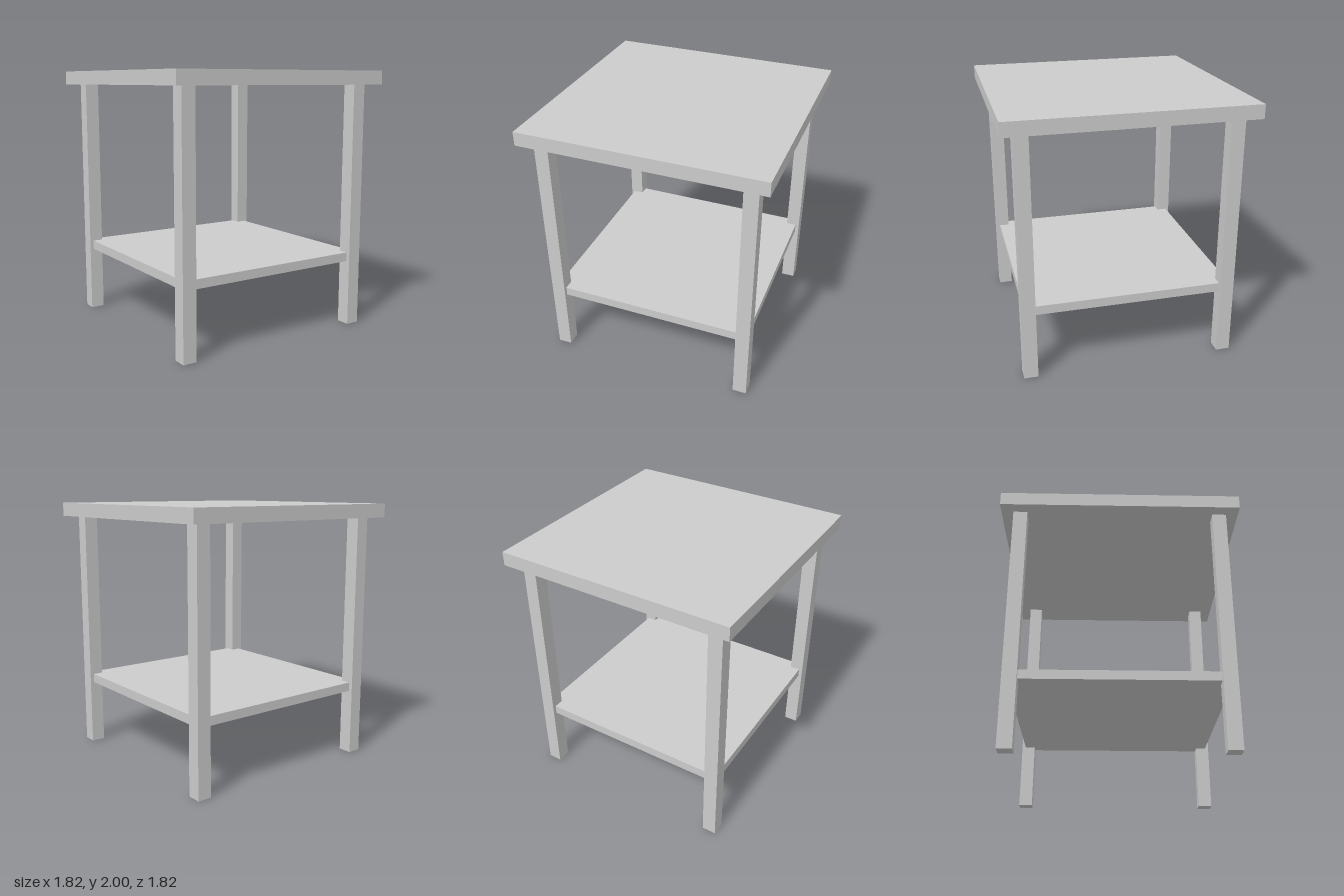
import * as THREE from 'three';

export function createModel() {
  const group = new THREE.Group();
  const material = new THREE.MeshStandardMaterial({ color: 0xcccccc, flatShading: true });

  // Box resting on a given bottom height
  const addBox = (name, width, height, depth, x, bottom, z) => {
    const mesh = new THREE.Mesh(new THREE.BoxGeometry(width, height, depth), material);
    mesh.name = name;
    mesh.position.set(x, bottom + height / 2, z);
    group.add(mesh);
  };

  const topHalf = 0.908, topThickness = 0.105, underside = 2 - topThickness;
  const legInner = 0.71, legOuter = 0.817;
  const legSize = legOuter - legInner, legCentre = (legInner + legOuter) / 2;
  const shelfHalf = 0.788;

  // Square table top
  addBox('tableTop', topHalf * 2, topThickness, topHalf * 2, 0, underside, 0);

  // Lower shelf, its corners let into the legs
  addBox('shelf', shelfHalf * 2, 0.07, shelfHalf * 2, 0, 0.512, 0);

  // Four square legs
  for (const [side, sx] of [['Left', 1], ['Right', -1]]) {
    for (const [end, sz] of [['front', 1], ['back', -1]]) {
      addBox(`${end}${side}Leg`, legSize, underside, legSize, sx * legCentre, 0, sz * legCentre);
    }
  }

  return group;
}
